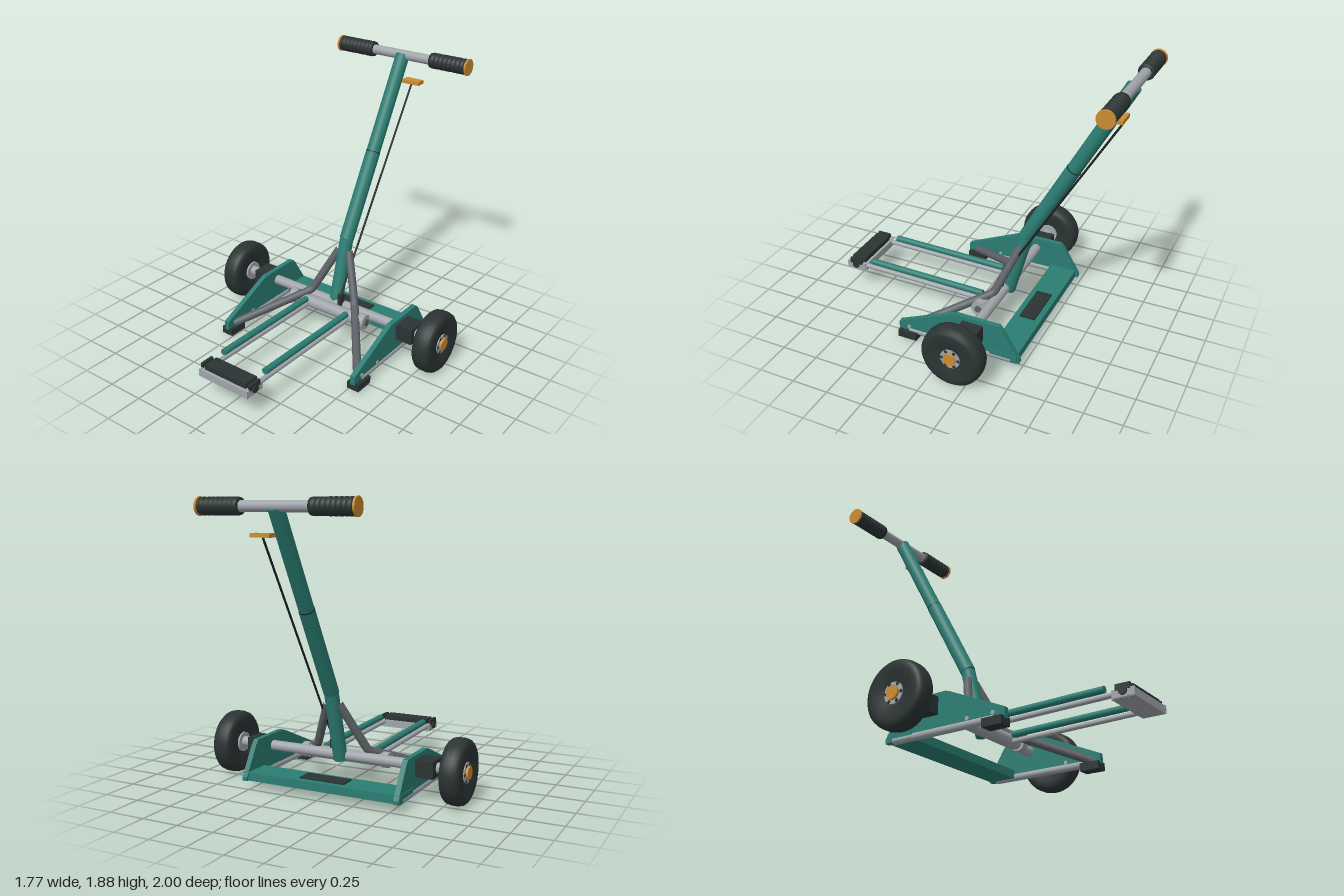
import * as THREE from 'three';

const mat = (name, color, side = THREE.FrontSide) => {
  const m = new THREE.MeshStandardMaterial({ color, side });
  m.name = name;
  return m;
};

export function createModel() {
  const teal = mat('teal paint', 0x2b7d73);
  const steel = mat('light steel', 0xa0a5aa);
  const gunmetal = mat('dark steel', 0x5c6066);
  const rubber = mat('black rubber', 0x2b3333);
  const orange = mat('orange trim', 0xcb8c30);
  const cable = mat('black rod', 0x1d2122);

  const root = new THREE.Group();
  root.name = 'footTrolley';
  const V = (x, y, z) => new THREE.Vector3(x, y, z);

  const add = (name, geo, material, pos) => {
    const m = new THREE.Mesh(geo, material);
    m.name = name;
    if (pos) m.position.copy(pos);
    root.add(m);
    return m;
  };
  const box = (name, material, x0, x1, y0, y1, z0, z1) =>
    add(name, new THREE.BoxGeometry(x1 - x0, y1 - y0, z1 - z0), material,
      V((x0 + x1) / 2, (y0 + y1) / 2, (z0 + z1) / 2));
  // Round bar between two points
  const bar = (name, material, a, b, r, sides = 24) => {
    const m = add(name, new THREE.CylinderGeometry(r, r, a.distanceTo(b), sides), material,
      a.clone().add(b).multiplyScalar(0.5));
    m.quaternion.setFromUnitVectors(V(0, 1, 0), b.clone().sub(a).normalize());
    return m;
  };
  // Round bar along x
  const barX = (name, material, x0, x1, y, z, r, sides = 32) =>
    bar(name, material, V(x0, y, z), V(x1, y, z), r, sides);
  // Lathe profile [radius, x] turned around an x axis, side = +1 or -1
  const latheX = (name, material, pts, side, y, z) => {
    const geo = new THREE.LatheGeometry(pts.map(p => new THREE.Vector2(p[0], p[1])), 40);
    const m = add(name, geo, material, V(0, y, z));
    m.rotation.z = -side * Math.PI / 2;
    return m;
  };

  const axleY = 0.21, axleZ = -0.165;

  // Leaning mast in three tubes with collars at the joints
  const foot = V(0, 0.19, -0.175), knee = V(0, 0.655, -0.3), top = V(0, 1.82, -0.94);
  const middle = knee.clone().lerp(top, 0.475);
  bar('lowerMast', teal, foot, knee, 0.047, 32);
  bar('middleMast', teal, knee, middle, 0.05, 32);
  bar('upperMast', teal, middle, top, 0.048, 32);
  const dir = top.clone().sub(knee).normalize();
  bar('mastJoint', cable, middle.clone().addScaledVector(dir, -0.003), middle.clone().addScaledVector(dir, 0.003), 0.0505, 32);

  // Handlebar
  barX('handlebar', steel, -0.505, 0.505, 1.82, -0.94, 0.033);

  // Lever and release rod
  box('lever', orange, 0.045, 0.175, 1.645, 1.67, -0.94, -0.873);
  bar('releaseRod', cable, V(0.09, 1.65, -0.935), V(0.07, 0.3, -0.14), 0.007, 10);
  box('rodBracket', rubber, 0.055, 0.085, 0.22, 0.31, -0.165, -0.125);

  // Axle and pivot tube
  barX('axle', steel, -0.77, 0.77, 0.215, axleZ, 0.034);
  barX('pivotTube', steel, -0.26, 0.26, 0.195, -0.098, 0.042);

  // Rear deck and its plate
  box('rearDeck', teal, -0.56, 0.56, 0.05, 0.105, -0.475, -0.285);
  box('deckPlate', rubber, -0.158, 0.158, 0.105, 0.114, -0.435, -0.325);

  // Side plate outline in (z, y)
  const outline = [[0.375, 0.05], [0.375, 0.115], [0, 0.28], [-0.04, 0.295],
    [-0.35, 0.295], [-0.38, 0.26], [-0.492, 0.075], [-0.492, 0.05]];
  const shape = new THREE.Shape(outline.map(p => new THREE.Vector2(-p[0], p[1])));

  // Tyre cross-section
  const tyre = [[0.065, 0.765], [0.1, 0.757], [0.14, 0.75], [0.17, 0.749], [0.19, 0.755], [0.204, 0.77],
    [0.21, 0.795], [0.21, 0.835], [0.204, 0.86], [0.19, 0.875], [0.17, 0.881], [0.14, 0.88],
    [0.1, 0.873], [0.065, 0.865]];

  // Ribbed grip profile
  const grip = [[0.03, 0.23], [0.05, 0.23]];
  for (let i = 0; i < 8; i++) {
    const x = 0.24 + i * 0.032;
    grip.push([0.05, x], [0.053, x + 0.004], [0.053, x + 0.022], [0.047, x + 0.026], [0.047, x + 0.029]);
  }
  grip.push([0.05, 0.505], [0.03, 0.505]);

  for (const s of [1, -1]) {
    const side = s > 0 ? 'left' : 'right';
    const sbox = (name, m, x0, x1, ...rest) =>
      box(side + name, m, Math.min(s * x0, s * x1), Math.max(s * x0, s * x1), ...rest);
    const sbar = (name, m, x0, x1, y, z, r, n) => barX(side + name, m, s * x0, s * x1, y, z, r, n);

    // Grip and end cap
    latheX(side + 'Grip', rubber, grip, s, 1.82, -0.94);
    sbar('GripCap', orange, 0.503, 0.516, 1.82, -0.94, 0.056);

    // Wheel, hub with notches, axle cap
    latheX(side + 'Tyre', rubber, tyre, s, axleY, axleZ);
    sbar('Hub', steel, 0.752, 0.872, axleY, axleZ, 0.067);
    for (let i = 0; i < 6; i++) {
      const a = i * Math.PI / 3;
      sbar('HubNotch', rubber, 0.87, 0.874, axleY + 0.057 * Math.sin(a), axleZ + 0.057 * Math.cos(a), 0.011, 12);
    }
    sbar('AxleCap', orange, 0.86, 0.887, axleY, axleZ, 0.042);
    sbox('AxleBlock', rubber, 0.55, 0.675, 0.157, 0.267, -0.242, -0.095);

    // Side plate with rail, bolts and foot
    const plate = add(side + 'SidePlate',
      new THREE.ExtrudeGeometry(shape, { depth: 0.035, bevelEnabled: false }), teal,
      V(s * 0.5375 - 0.0175, 0, 0));
    plate.rotation.y = Math.PI / 2;
    bar(side + 'Rail', steel, V(s * 0.537, 0.062, -0.435), V(s * 0.537, 0.062, 0.3), 0.025);
    for (const z of [0.3, 0.12]) sbar('PlateBolt', steel, 0.515, 0.562, 0.092, z, 0.013, 16);
    sbox('Foot', rubber, 0.495, 0.582, 0.01, 0.062, 0.237, 0.372);

    // Bent brace from foot to mast
    const bend = V(s * 0.185, 0.26, -0.145);
    const brace = new THREE.CurvePath();
    const p0 = V(s * 0.53, 0.075, 0.31), p3 = V(s * 0.04, 0.58, -0.275);
    const p1 = bend.clone().lerp(p0, 0.06), p2 = bend.clone().lerp(p3, 0.08);
    brace.add(new THREE.LineCurve3(p0, p1));
    brace.add(new THREE.QuadraticBezierCurve3(p1, bend, p2));
    brace.add(new THREE.LineCurve3(p2, p3));
    add(side + 'Brace', new THREE.TubeGeometry(brace, 60, 0.028, 18), gunmetal);

    // Pivot collar and forward arm with its parallel link
    sbar('PivotCollar', steel, 0.268, 0.316, 0.198, -0.093, 0.052);
    sbar('PivotPin', gunmetal, 0.25, 0.325, 0.198, -0.093, 0.024);
    bar(side + 'Arm', teal, V(s * 0.172, 0.225, -0.06), V(s * 0.172, 0.24, 0.8), 0.022);
    bar(side + 'Link', steel, V(s * 0.174, 0.178, -0.08), V(s * 0.174, 0.195, 0.87), 0.017);

    // Footrest side plate and knob
    sbox('FootrestSide', steel, 0.183, 0.2, 0.162, 0.213, 0.855, 1);
    sbar('FootrestKnob', rubber, 0.19, 0.21, 0.198, 0.928, 0.026, 20);
    sbox('FootrestClamp', rubber, 0.185, 0.204, 0.205, 0.243, 0.88, 0.975);
  }

  // Footrest tray and pad
  box('footrestTray', steel, -0.19, 0.19, 0.16, 0.21, 0.85, 0.998);
  box('footrestPad', rubber, -0.168, 0.168, 0.208, 0.243, 0.87, 0.977);

  return root;
}
